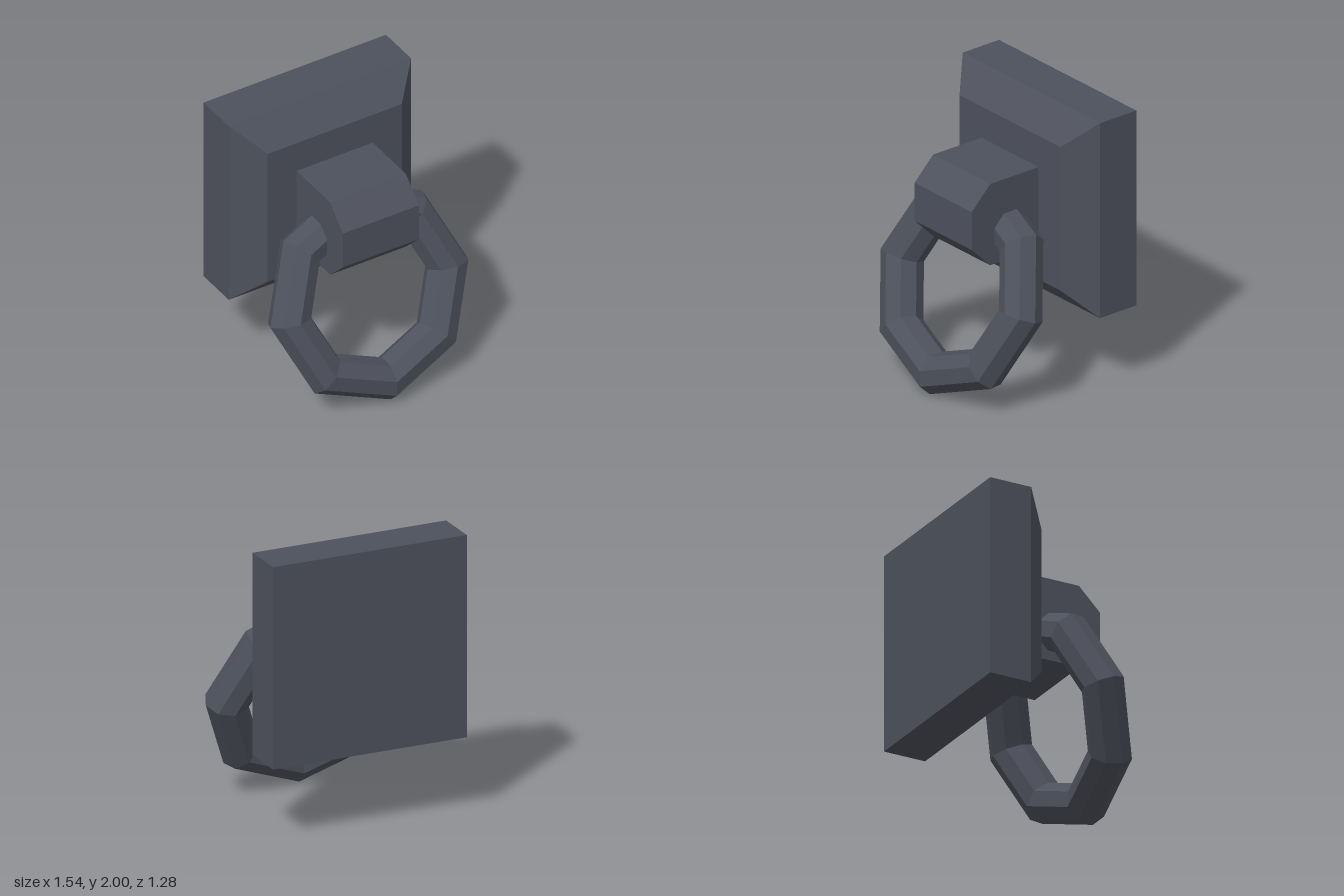
import * as THREE from 'three';

export function createModel() {
  const group = new THREE.Group();
  const material = new THREE.MeshStandardMaterial({ color: 0x4d515c, flatShading: true });

  function add(name, geometry) {
    const mesh = new THREE.Mesh(geometry, material);
    mesh.name = name;
    group.add(mesh);
    return mesh;
  }

  // Square wall plate with a wide chamfer: a four-sided lathe, [half width, z]
  const profile = [[0, -0.64], [0.72, -0.64], [0.72, -0.325], [0.53, -0.14], [0, -0.14]]
    .map(([half, z]) => new THREE.Vector2(half * Math.SQRT2, z));
  const plate = new THREE.LatheGeometry(profile, 4, Math.PI / 4);
  plate.rotateX(Math.PI / 2);
  add('wallPlate', plate).position.y = 1.28;

  // Block that holds the ring, side outline in [z, y] extruded across x
  const outline = [[-0.15, 0.98], [0.28, 0.98], [0.44, 1.14], [0.44, 1.42], [0.28, 1.58], [-0.15, 1.58]]
    .map(([z, y]) => new THREE.Vector2(z, y));
  const block = new THREE.ExtrudeGeometry(new THREE.Shape(outline), { depth: 0.6, bevelEnabled: false });
  block.translate(0, 0, -0.3);
  block.rotateY(-Math.PI / 2);
  add('ringHolder', block);

  // Eight-sided ring hanging through the block, its foot swung forward
  const ring = add('ring', new THREE.TorusGeometry(0.621, 0.151, 8, 8));
  ring.position.set(0, 0.723, 0.281);
  ring.rotation.x = THREE.MathUtils.degToRad(-21);

  return group;
}
